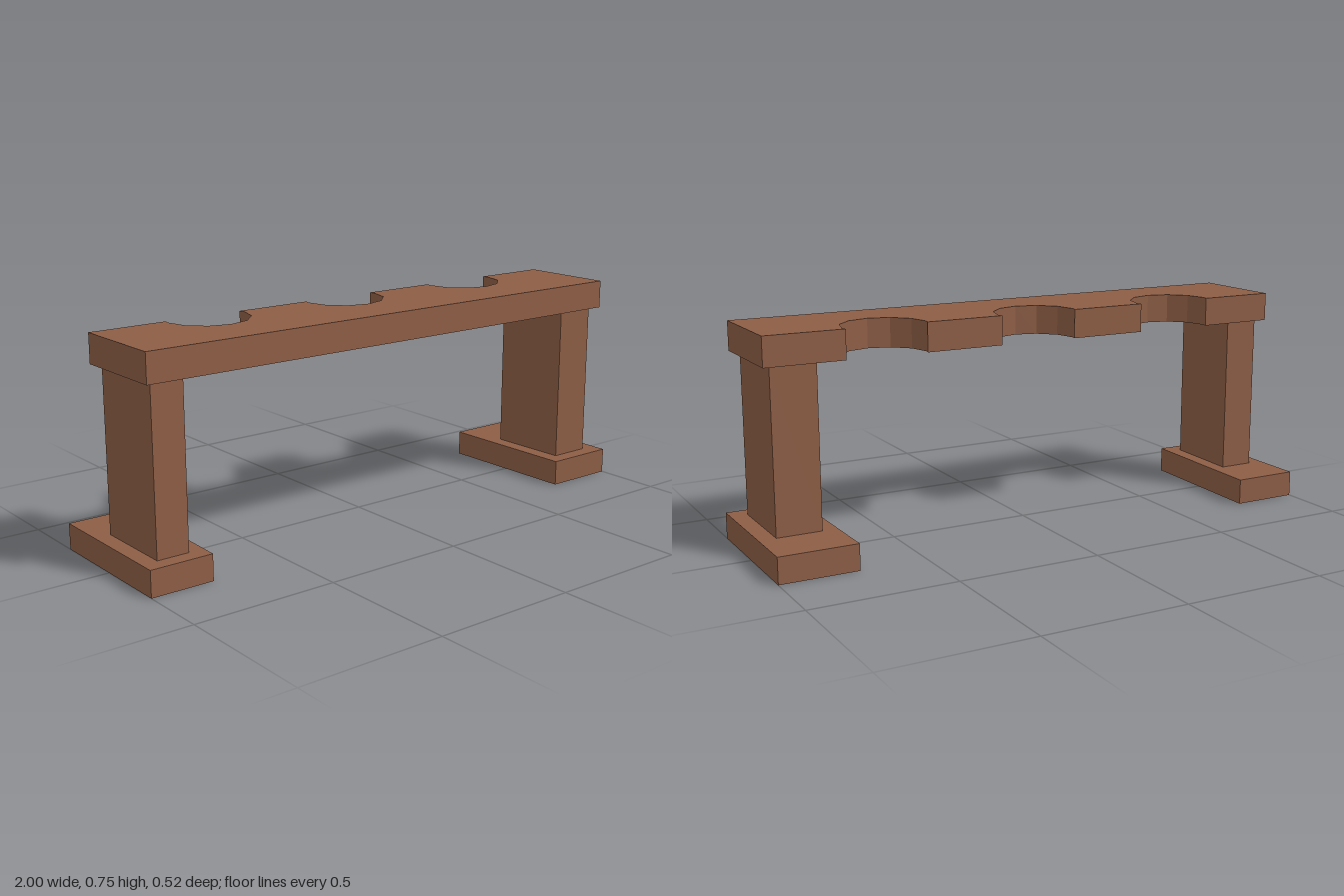
import * as THREE from 'three';

const wood = new THREE.MeshStandardMaterial({ color: 0x8c5d45 });
wood.name = 'brown wood';

// Upright prism from a plan outline of [x, z] corners, between two heights
function prism(name, plan, y0, y1) {
  const shape = new THREE.Shape(plan.map(([x, z]) => new THREE.Vector2(x, -z)));
  const geometry = new THREE.ExtrudeGeometry(shape, { depth: y1 - y0, bevelEnabled: false });
  geometry.rotateX(-Math.PI / 2);
  geometry.translate(0, y0, 0);
  const mesh = new THREE.Mesh(geometry, wood);
  mesh.name = name;
  return mesh;
}

// Plan outline whose inner side is slightly skewed from front to back
const skewed = (outer, innerFront, innerBack, zBack, zFront) =>
  [[outer, zBack], [outer, zFront], [innerFront, zFront], [innerBack, zBack]];

export function createModel() {
  const group = new THREE.Group();
  group.name = 'notched rack';

  // Feet and legs; the two sides differ a little in width
  group.add(
    prism('rightFoot', skewed(-1, -0.78, -0.766, -0.262, 0.261), 0, 0.09),
    prism('leftFoot', skewed(1, 0.738, 0.73, -0.262, 0.261), 0, 0.09),
    prism('rightLeg', skewed(-0.945, -0.832, -0.821, -0.085, 0.207), 0.09, 0.646),
    prism('leftLeg', skewed(0.942, 0.793, 0.786, -0.085, 0.207), 0.09, 0.646),
  );

  // Top beam with three twelve-sided notches cut into the back edge
  const back = -0.113, front = 0.234, r = 0.146, cz = -0.093, mouth = 0.141;
  const plan = [[-0.971, front], [0.971, front], [0.971, back]];
  for (const cx of [0.556, 0, -0.556]) {
    plan.push([cx + mouth, back]);
    for (let i = 0; i <= 6; i++) {
      const a = (i * Math.PI) / 6;
      plan.push([cx + r * Math.cos(a), cz + r * Math.sin(a)]);
    }
    plan.push([cx - mouth, back]);
  }
  plan.push([-0.971, back]);
  group.add(prism('topBeam', plan, 0.646, 0.746));

  return group;
}
